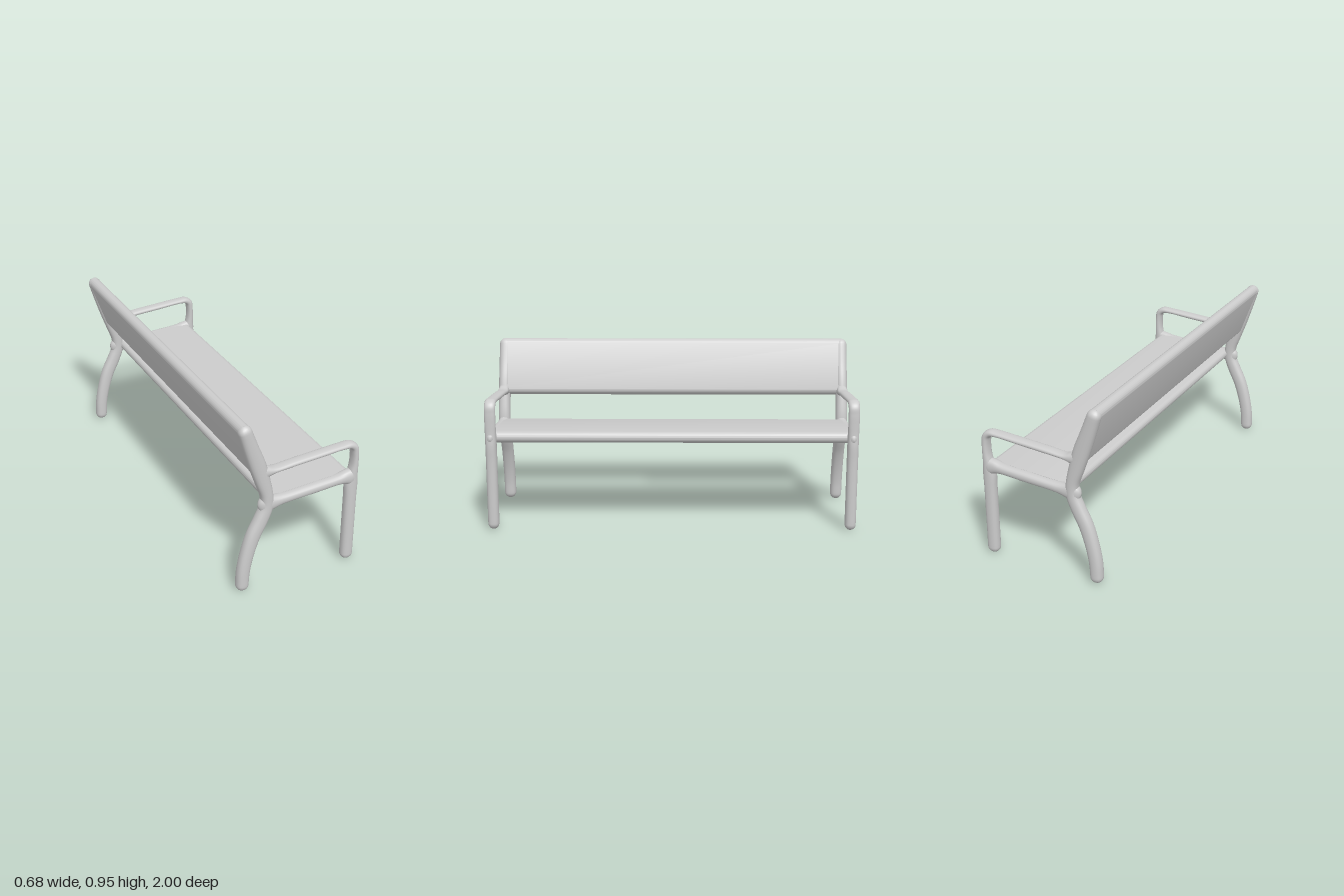
import * as THREE from 'three';
import { toCreasedNormals } from 'three/addons/utils/BufferGeometryUtils.js';

const material = new THREE.MeshStandardMaterial({ color: 0xcccccc });

// Round-ended bar in the xy plane; points are [x, y, half width], depth is the half size in z
function bar(name, points, depth, steps = 48, sides = 20) {
  const curve = new THREE.CatmullRomCurve3(points.map((p) => new THREE.Vector3(...p)));
  const rings = [];
  const addRing = (t, offset, scale) => {
    const p = curve.getPoint(t);
    const d = curve.getTangent(t);
    const len = Math.hypot(d.x, d.y);
    rings.push({ x: p.x, y: p.y, r: p.z, tx: d.x / len, ty: d.y / len, offset: offset * p.z, scale });
  };
  const dome = 6;
  for (let k = 0; k < dome; k++) {
    const a = (k / dome) * Math.PI / 2;
    addRing(0, -Math.cos(a), Math.max(Math.sin(a), 0.01));
  }
  for (let i = 0; i <= steps; i++) addRing(i / steps, 0, 1);
  for (let k = dome - 1; k >= 0; k--) {
    const a = (k / dome) * Math.PI / 2;
    addRing(1, Math.cos(a), Math.max(Math.sin(a), 0.01));
  }

  const position = [];
  const index = [];
  rings.forEach((g, i) => {
    for (let j = 0; j < sides; j++) {
      const a = (j / sides) * Math.PI * 2;
      // slightly squared ellipse
      const c = Math.sign(Math.cos(a)) * Math.abs(Math.cos(a)) ** 0.85 * g.r * g.scale;
      const s = Math.sign(Math.sin(a)) * Math.abs(Math.sin(a)) ** 0.85 * depth * g.scale;
      position.push(g.x + g.tx * g.offset - g.ty * c, g.y + g.ty * g.offset + g.tx * c, s);
      if (i < rings.length - 1) {
        const p = i * sides + j;
        const q = i * sides + ((j + 1) % sides);
        index.push(p, q, q + sides, p, q + sides, p + sides);
      }
    }
  });
  const geometry = new THREE.BufferGeometry();
  geometry.setAttribute('position', new THREE.Float32BufferAttribute(position, 3));
  geometry.setIndex(index);
  geometry.computeVertexNormals();
  const mesh = new THREE.Mesh(geometry, material);
  mesh.name = name;
  return mesh;
}

// Long slab with rounded edges, running in z; a and b are [x, y, edge radius]
function slab(name, a, b, length) {
  const angle = Math.atan2(b[1] - a[1], b[0] - a[0]);
  const shape = new THREE.Shape();
  shape.absarc(b[0], b[1], b[2], angle - Math.PI / 2, angle + Math.PI / 2, false);
  shape.absarc(a[0], a[1], a[2], angle + Math.PI / 2, angle + Math.PI * 1.5, false);
  shape.closePath();
  const geometry = new THREE.ExtrudeGeometry(shape, { depth: length, bevelEnabled: false, curveSegments: 12 });
  geometry.translate(0, 0, -length / 2);
  const mesh = new THREE.Mesh(toCreasedNormals(geometry, 0.6), material);
  mesh.name = name;
  return mesh;
}

function endFrame(name) {
  const frame = new THREE.Group();
  frame.name = name;
  // Curved rear leg running up into the back post
  frame.add(bar('rearLegAndBackPost', [
    [-0.308, 0.034, 0.033], [-0.303, 0.11, 0.034], [-0.286, 0.2, 0.035],
    [-0.252, 0.31, 0.037], [-0.208, 0.4, 0.037], [-0.18, 0.47, 0.034],
    [-0.18, 0.53, 0.033], [-0.204, 0.62, 0.039], [-0.235, 0.72, 0.043],
    [-0.271, 0.82, 0.039], [-0.305, 0.92, 0.035],
  ], 0.033, 60));
  // Straight front leg, narrowing above the seat and bending into the armrest
  frame.add(bar('frontLegAndArmrest', [
    [0.304, 0.034, 0.033], [0.304, 0.2, 0.033], [0.304, 0.38, 0.033],
    [0.305, 0.47, 0.034], [0.31, 0.53, 0.025], [0.315, 0.58, 0.019],
    [0.315, 0.64, 0.018], [0.308, 0.678, 0.02], [0.285, 0.696, 0.018],
    [0.24, 0.699, 0.014], [0.1, 0.69, 0.015], [-0.04, 0.681, 0.015],
    [-0.14, 0.673, 0.015], [-0.175, 0.672, 0.026], [-0.2, 0.672, 0.035],
  ], 0.03, 90));
  // Rail between the legs, flared where it meets them
  frame.add(bar('seatRail', [
    [-0.178, 0.483, 0.048], [-0.145, 0.486, 0.037], [-0.1, 0.49, 0.028],
    [0.1, 0.501, 0.027], [0.23, 0.509, 0.028], [0.268, 0.51, 0.037], [0.295, 0.508, 0.045],
  ], 0.031));
  return frame;
}

export function createModel() {
  const bench = new THREE.Group();
  bench.name = 'bench';

  for (const side of [1, -1]) {
    const frame = endFrame(side > 0 ? 'rightEndFrame' : 'leftEndFrame');
    frame.position.z = side * 0.967;
    bench.add(frame);
  }

  bench.add(slab('seat', [-0.14, 0.489, 0.026], [0.275, 0.507, 0.03], 1.92));
  bench.add(slab('backrest', [-0.219, 0.678, 0.034], [-0.306, 0.923, 0.032], 1.94));
  return bench;
}
